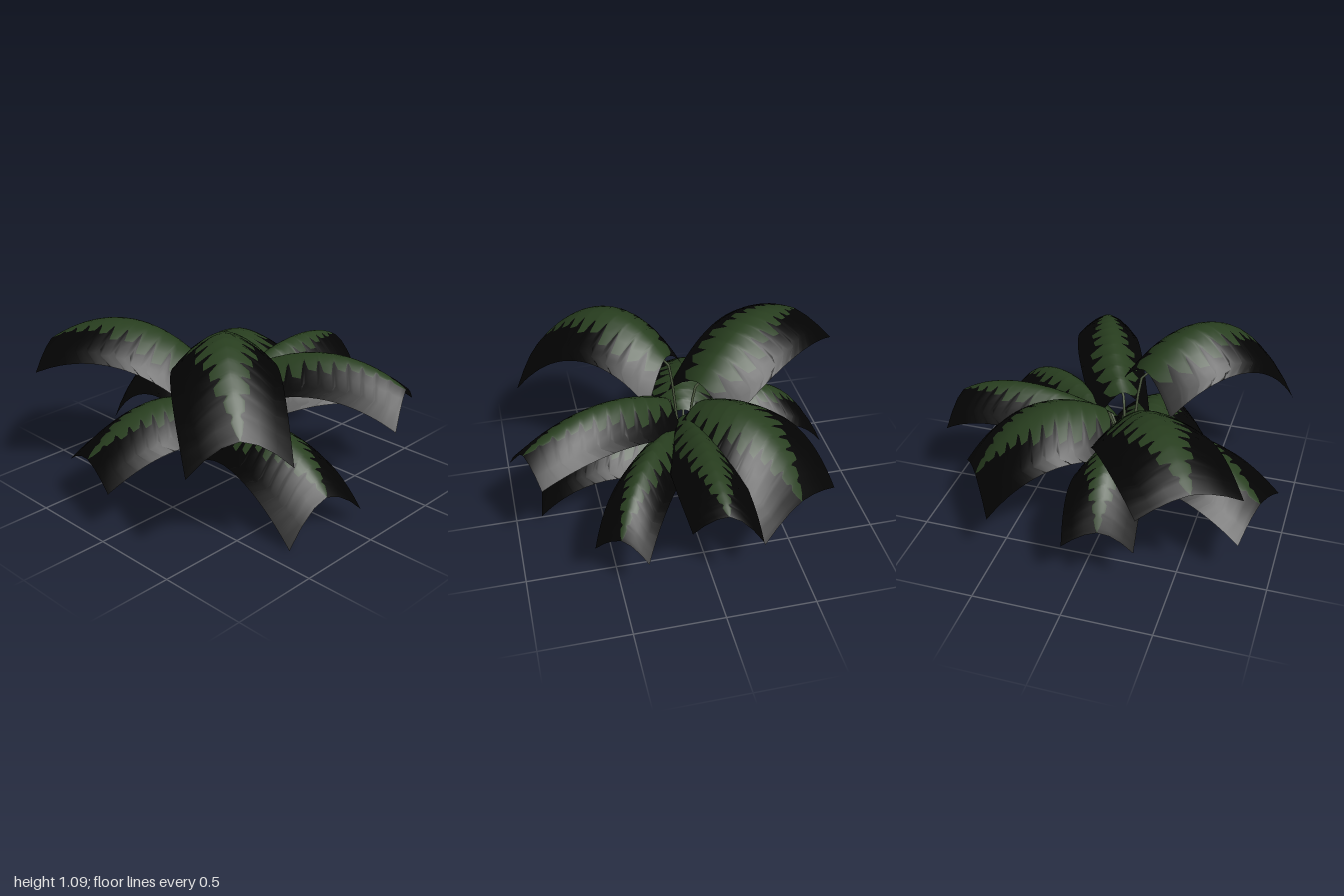
import * as THREE from 'three';

// Each leaf: height of its base, crown and tip of the midrib, half width,
// droop of the left and right tip corners, slant of the tip edge
const LEAVES = [
  { baseY: 0.9, crown: [0.38, 1.08, 0.46], tip: [0.73, 0.74, 0.715], width: 0.263, droop: [0.16, 0.18], slant: 0.015 },
  { baseY: 0.72, crown: [0.5, 0.87, -0.18], tip: [0.93, 0.74, -0.33], width: 0.18, droop: [0.12, 0.17], slant: 0 },
  { baseY: 0.64, crown: [-0.01, 0.74, -0.55], tip: [-0.02, 0.64, -0.92], width: 0.175, droop: [0.17, 0.12], slant: -0.045 },
  { baseY: 0.58, crown: [0.32, 0.66, -0.46], tip: [0.5, 0.43, -0.75], width: 0.15, droop: [0.12, 0.1], slant: 0 },
  { baseY: 0.7, crown: [-0.31, 0.76, -0.36], tip: [-0.5, 0.42, -0.66], width: 0.3, droop: [0.09, 0.11], slant: 0 },
  { baseY: 0.56, crown: [-0.48, 0.67, 0.1], tip: [-0.765, 0.4, 0.13], width: 0.185, droop: [0.14, 0.09], slant: 0.04 },
  { baseY: 0.72, crown: [-0.48, 0.95, 0.36], tip: [-0.85, 0.82, 0.63], width: 0.28, droop: [0.1, 0.09], slant: 0 },
  { baseY: 0.43, crown: [0.47, 0.48, 0.13], tip: [0.81, 0.24, 0.145], width: 0.24, droop: [0.15, 0.24], slant: -0.025 },
  { baseY: 0.5, crown: [-0.12, 0.6, 0.5], tip: [-0.235, 0.36, 0.89], width: 0.255, droop: [0.09, 0.11], slant: 0 },
];
const ROOT = new THREE.Vector3(-0.015, 0.16, 0.07);
const STALK_REACH = 0.115;
const BASE_DROOP = 0.19;
const UP = new THREE.Vector3(0, 1, 0);

// Midrib: a parabola through base, crown and tip
function midrib({ baseY, crown, tip }) {
  const c = new THREE.Vector3(...crown), e = new THREE.Vector3(...tip);
  const b = c.clone().sub(ROOT).setY(0).setLength(STALK_REACH).add(ROOT).setY(baseY);
  return (t) => new THREE.Vector3()
    .addScaledVector(b, (1 - t) * (1 - 2 * t))
    .addScaledVector(c, 4 * t * (1 - t))
    .addScaledVector(e, t * (2 * t - 1));
}

// Rows along the leaf: [position, half width of the green], with saw teeth
function toothRows() {
  const teeth = 11, rows = [];
  for (let k = 0; k < teeth; k++) {
    const uneven = 0.92 + 0.08 * Math.cos(k * 2.4);
    for (const [step, reach] of [[0, 0.48], [0.2, 0.9], [0.72, 1], [0.88, 0.6]]) {
      const u = (k + step) / teeth;
      const envelope = u < 0.17 ? 0.45 + 2.4 * u : 0.86 * Math.pow((1 - u) / 0.83, 0.75);
      rows.push([u, Math.max(0.01, envelope * reach * uneven)]);
    }
  }
  rows.push([1, 0.01]);
  return rows;
}

// Arched sheet whose sides droop away from the midrib
function leafGeometry(leaf, rib) {
  const along = rib(1).sub(rib(0)).setY(0).normalize();
  const across = along.clone().cross(UP);
  const sides = [-1, 1].map((s, i) => across.clone().multiplyScalar(s * leaf.width)
    .addScaledVector(along, s * leaf.slant).setY(-leaf.droop[i]));
  const point = (u, v) => {
    const p = rib(u);
    const side = sides[v < 0 ? 0 : 1], w = Math.abs(v);
    const spread = w * (0.88 + 0.12 * u + 0.12 * Math.sin(Math.PI * u));
    p.x += side.x * spread;
    p.z += side.z * spread;
    p.y += THREE.MathUtils.lerp(-BASE_DROOP, side.y, u * u) * Math.pow(w, 1.7);
    return p;
  };
  const rows = toothRows(), positions = [], black = [], green = [];
  rows.forEach(([u, w], r) => {
    const half = [w / 3, w * 2 / 3, w, (2 * w + 1) / 3, (w + 2) / 3, 1];
    const columns = [...half.map((v) => -v).reverse(), 0, ...half];
    for (const v of columns) {
      // Teeth lean towards the tip
      const a = Math.abs(v), lean = 0.1 * Math.sin(Math.PI * u) * (a === 1 ? 0 : a);
      positions.push(...point(Math.min(u + lean, 1), v).toArray());
    }
    if (r === rows.length - 1) return;
    for (let c = 0; c < 12; c++) {
      const i = r * 13 + c;
      (c > 2 && c < 9 ? green : black).push(i, i + 1, i + 13, i + 1, i + 14, i + 13);
    }
  });
  const geometry = new THREE.BufferGeometry();
  geometry.setAttribute('position', new THREE.Float32BufferAttribute(positions, 3));
  geometry.setIndex([...black, ...green]);
  geometry.addGroup(0, black.length, 0);
  geometry.addGroup(black.length, green.length, 1);
  geometry.computeVertexNormals();
  return geometry;
}

// Thin stalk bending from the root out to the leaf base
function stalkGeometry(rib) {
  const end = rib(0);
  const bend = ROOT.clone().lerp(end, 0.38).setY((ROOT.y + end.y) / 2);
  const tuck = rib(0.06).setY(end.y + 0.005);
  const curve = new THREE.CatmullRomCurve3([ROOT, bend, end, tuck]);
  return new THREE.TubeGeometry(curve, 8, 0.008, 5);
}

export function createModel() {
  const material = (name, color, side = THREE.FrontSide) => {
    const m = new THREE.MeshStandardMaterial({ color, side });
    m.name = name;
    return m;
  };
  const leafBlack = material('leafBlack', 0x030303, THREE.DoubleSide);
  const leafGreen = material('leafGreen', 0x283e1f, THREE.DoubleSide);
  const stalkGreen = material('stalkGreen', 0x4f5c42);

  const plant = new THREE.Group();
  plant.name = 'plant';
  const add = (name, geometry, mat) => {
    const mesh = new THREE.Mesh(geometry, mat);
    mesh.name = name;
    plant.add(mesh);
    return mesh;
  };

  LEAVES.forEach((leaf, i) => {
    const rib = midrib(leaf);
    add(`leaf${i + 1}`, leafGeometry(leaf, rib), [leafBlack, leafGreen]);
    add(`stalk${i + 1}`, stalkGeometry(rib), stalkGreen);
  });

  // Bundle where the stalks meet
  add('stalkBase', new THREE.CylinderGeometry(0.022, 0.014, 0.12, 8), stalkGreen)
    .position.set(ROOT.x, ROOT.y + 0.06, ROOT.z);
  return plant;
}
